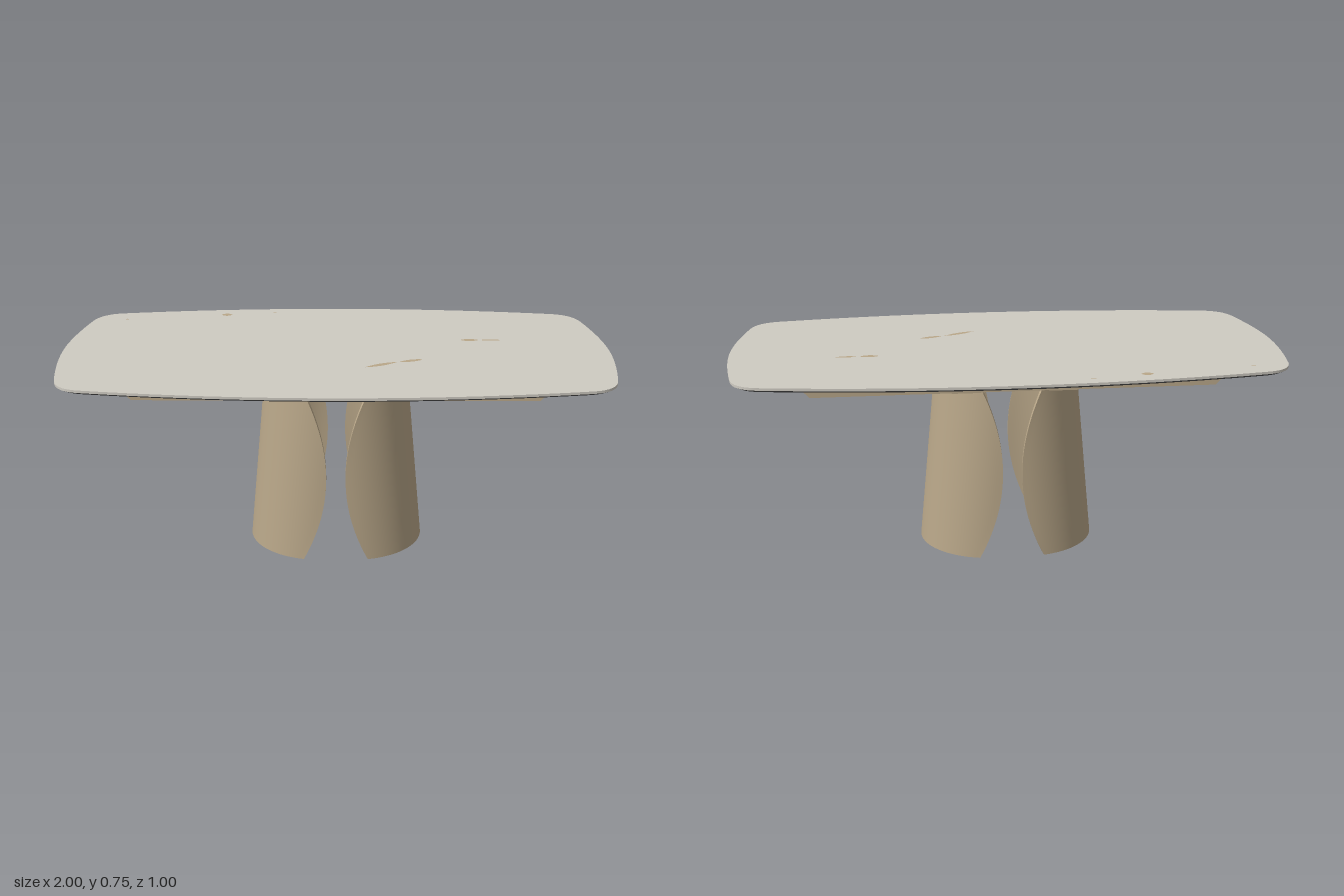
import * as THREE from 'three';
import { toCreasedNormals } from 'three/addons/utils/BufferGeometryUtils.js';

const material = (name, color, side = THREE.FrontSide) => {
  const m = new THREE.MeshStandardMaterial({ color, side });
  m.name = name;
  return m;
};

// Barrel-shaped outline with soft corners, mirrored from one quarter
function topOutline() {
  const quarter = [
    ...new THREE.QuadraticBezierCurve(new THREE.Vector2(0, 0.5), new THREE.Vector2(0.43, 0.5), new THREE.Vector2(0.86, 0.433)).getPoints(10),
    ...new THREE.QuadraticBezierCurve(new THREE.Vector2(0.86, 0.433), new THREE.Vector2(0.945, 0.419), new THREE.Vector2(0.962, 0.33)).getPoints(8).slice(1),
    ...new THREE.QuadraticBezierCurve(new THREE.Vector2(0.962, 0.33), new THREE.Vector2(1, 0.14), new THREE.Vector2(1, 0)).getPoints(8).slice(1),
  ];
  const half = [...quarter, ...quarter.slice(0, -1).reverse().map(p => new THREE.Vector2(p.x, -p.y))];
  const rest = half.slice(1, -1).reverse().map(p => new THREE.Vector2(-p.x, p.y));
  return new THREE.Shape([...half, ...rest]);
}

// Flat slab hanging down from y; its lower face is shrunk by inset
function slab(shape, y, depth, inset = 0) {
  const g = new THREE.ExtrudeGeometry(shape, { depth, bevelEnabled: false });
  g.rotateX(Math.PI / 2);
  const p = g.attributes.position;
  for (let i = 0; i < p.count; i++) {
    if (p.getY(i) < -depth / 2) {
      p.setX(i, p.getX(i) * (1 - inset));
      p.setZ(i, p.getZ(i) * (1 - inset * 2));
    }
  }
  g.translate(0, y, 0);
  return toCreasedNormals(g, 0.5);
}

// Thin leaning half-oval shell whose two long edges bow towards the middle
function legShell() {
  const rows = 28, cols = 36, height = 0.672, a = 0.27, b = 0.245, wall = 0.01;
  const loop = 2 * (cols + 1), pos = [], index = [];
  for (let j = 0; j <= rows; j++) {
    const v = j / rows, s = 2 * v - 1;
    const outer = 0.33 - 0.066 * v;
    const edge = 0.12 - 0.085 * (1 - s * s);
    const limit = Math.acos((edge - outer + a) / a);
    for (let k = 0; k < loop; k++) {
      const inside = k > cols;
      const i = inside ? loop - 1 - k : k;
      const t = limit * (2 * i / cols - 1), w = inside ? wall : 0;
      pos.push(outer - a + (a - w) * Math.cos(t), v * height, (b - w) * Math.sin(t));
    }
  }
  for (let j = 0; j < rows; j++) {
    for (let k = 0; k < loop; k++) {
      const n = (k + 1) % loop, r = j * loop, u = r + loop;
      index.push(r + k, u + k, r + n, r + n, u + k, u + n);
    }
  }
  // Rims at the bottom and top
  const top = rows * loop;
  for (let i = 0; i < cols; i++) {
    const c = loop - 1 - i, d = c - 1;
    index.push(i, i + 1, c, i + 1, d, c);
    index.push(top + i, top + c, top + i + 1, top + i + 1, top + c, top + d);
  }
  const g = new THREE.BufferGeometry();
  g.setAttribute('position', new THREE.Float32BufferAttribute(pos, 3));
  g.setIndex(index);
  return toCreasedNormals(g, 0.6);
}

// Slim tapering vein lying flat, given centre, length, width and turn
function vein(x, z, length, width, turn) {
  const s = new THREE.Shape();
  s.moveTo(-length / 2, 0);
  s.quadraticCurveTo(0, width, length / 2, 0);
  s.quadraticCurveTo(0, -width, -length / 2, 0);
  const g = new THREE.ShapeGeometry(s, 8);
  g.rotateX(-Math.PI / 2);
  g.rotateY(turn);
  g.translate(x, 0.7508, z);
  return g;
}

export function createModel() {
  const stone = material('pale stone', 0xcfcbc2);
  const bronze = material('warm bronze', 0xb9a789);
  const dark = material('dark underside', 0x585858);

  const model = new THREE.Group();
  model.name = 'diningTable';
  const add = (name, geometry, mat, parent = model) => {
    const mesh = new THREE.Mesh(geometry, mat);
    mesh.name = name;
    parent.add(mesh);
    return mesh;
  };

  // Table top: pale slab over a chamfered dark backing
  const outline = topOutline();
  add('tableTop', slab(outline, 0.75, 0.009), stone);
  add('tableTopUnderside', slab(outline, 0.741, 0.008, 0.012), dark);

  // Stone veins
  const veins = new THREE.Group();
  veins.name = 'veins';
  model.add(veins);
  [
    [0.5, -0.1, 0.07, 0.026, 0], [0.58, -0.1, 0.08, 0.016, 0],
    [0.16, 0.175, 0.13, 0.022, 0.45], [0.27, 0.132, 0.09, 0.022, 0.3],
    [-0.44, -0.415, 0.045, 0.03, 0], [-0.83, -0.355, 0.02, 0.008, 0], [-0.25, -0.445, 0.02, 0.008, 0],
  ].forEach(v => add('vein', vein(...v), bronze, veins));

  // Support frame: long rails with slanted ends, and cross beams between them
  const frame = new THREE.Group();
  frame.name = 'frame';
  model.add(frame);
  const railSide = new THREE.Shape([[-0.7, 0.683], [0.7, 0.683], [0.748, 0.733], [-0.748, 0.733]]
    .map(([x, y]) => new THREE.Vector2(x, y)));
  for (const z of [-0.35, 0.29]) {
    const rail = add('rail', new THREE.ExtrudeGeometry(railSide, { depth: 0.06, bevelEnabled: false }), bronze, frame);
    rail.position.z = z;
  }
  for (const x of [-0.45, -0.17, 0.17, 0.45]) {
    add('crossBeam', new THREE.BoxGeometry(0.06, 0.05, 0.58), bronze, frame).position.set(x, 0.708, 0);
  }

  // Mounting plates and the two facing shell legs
  const shell = legShell();
  for (const side of [1, -1]) {
    add('mountingPlate', new THREE.BoxGeometry(0.1, 0.012, 0.64), bronze, frame).position.set(side * 0.17, 0.677, 0);
    const leg = add(side > 0 ? 'leftLeg' : 'rightLeg', shell, bronze);
    leg.rotation.y = side > 0 ? 0 : Math.PI;
  }
  return model;
}
